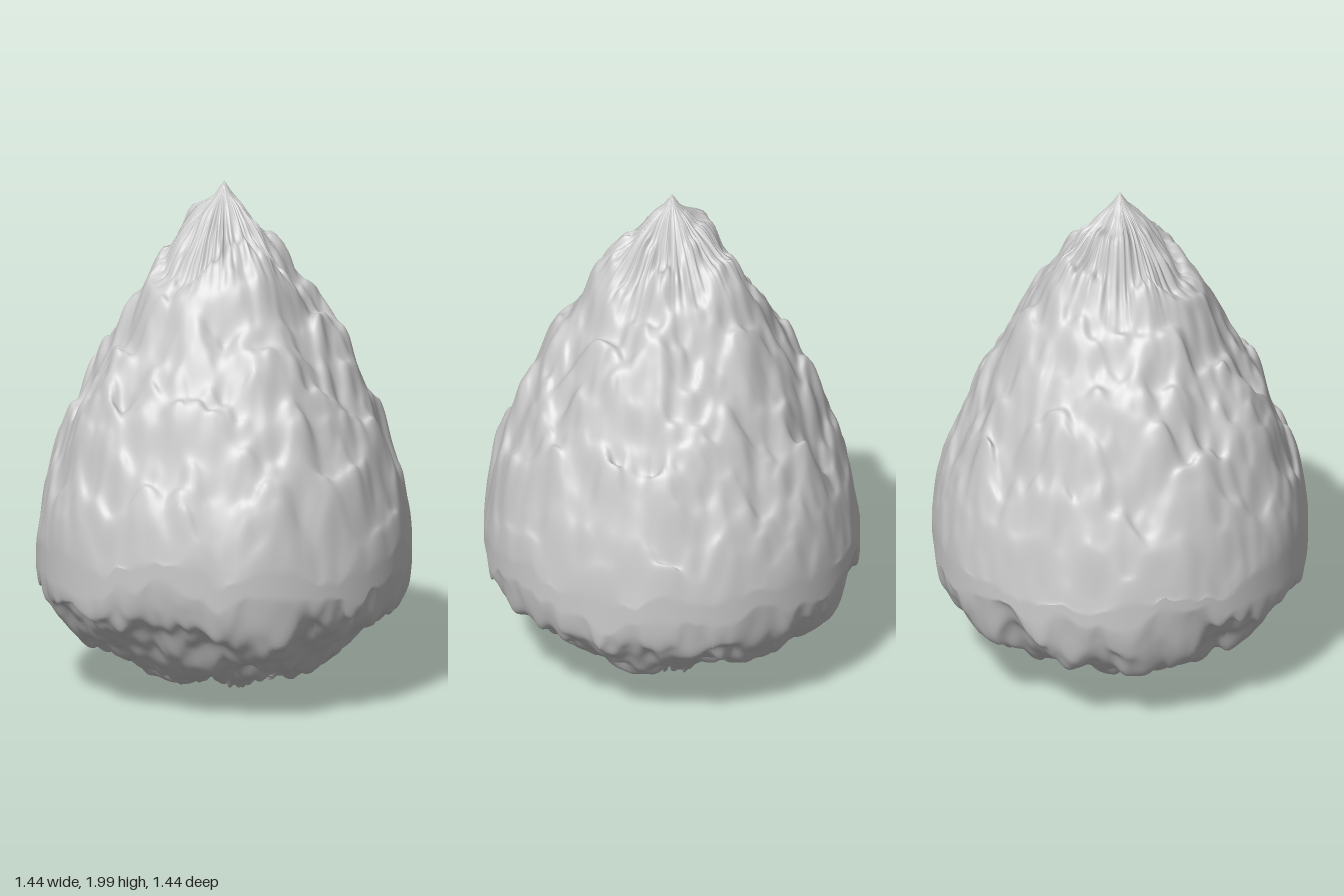
import * as THREE from 'three';
import { mergeVertices } from 'three/addons/utils/BufferGeometryUtils.js';

// Smooth seeded value noise in 3D, range -1..1
function hash(x, y, z) {
  let h = Math.imul(x, 374761393) ^ Math.imul(y, 668265263) ^ Math.imul(z, 1442695041);
  h = Math.imul(h ^ (h >>> 13), 1274126177);
  h = Math.imul(h ^ (h >>> 15), 2246822519);
  return ((h ^ (h >>> 16)) >>> 0) / 2147483648 - 1;
}
function noise(x, y, z) {
  const i = Math.floor(x), j = Math.floor(y), k = Math.floor(z);
  const fade = (t) => t * t * t * (t * (t * 6 - 15) + 10);
  const u = fade(x - i), v = fade(y - j), w = fade(z - k);
  const mix = THREE.MathUtils.lerp;
  const row = (b, c) => mix(hash(i, b, c), hash(i + 1, b, c), u);
  return mix(mix(row(j, k), row(j + 1, k), v), mix(row(j, k + 1), row(j + 1, k + 1), v), w);
}

export function createModel() {
  // Pear-shaped profile from the underside to the pointed tip
  const profile = new THREE.SplineCurve([
    [0, 0.1], [0.17, 0.08], [0.34, 0.14], [0.46, 0.19], [0.56, 0.25], [0.64, 0.31], [0.7, 0.41],
    [0.722, 0.57], [0.685, 0.8], [0.6, 1.03], [0.53, 1.2], [0.46, 1.35],
    [0.39, 1.46], [0.29, 1.63], [0.19, 1.76], [0.09, 1.87], [0, 2],
  ].map(([r, y]) => new THREE.Vector2(r, y)));
  const points = profile.getSpacedPoints(220);
  points.forEach((p) => { p.x = THREE.MathUtils.clamp(p.x, 0, 0.72); });
  points[0].x = points[220].x = 0;

  let geometry = new THREE.LatheGeometry(points, 280);
  geometry.deleteAttribute('normal');
  geometry.deleteAttribute('uv');
  geometry = mergeVertices(geometry, 1e-5);

  // Push the surface up and down only, so the plan stays round
  const pos = geometry.attributes.position;
  for (let i = 0; i < pos.count; i++) {
    const x = pos.getX(i), y = pos.getY(i), z = pos.getZ(i);
    const r = Math.hypot(x, z), a = Math.atan2(z, x);
    const full = THREE.MathUtils.smoothstep(r, 0, 0.18);
    const upper = THREE.MathUtils.smoothstep(y, 0.1, 0.6);
    let d = 0.045 * noise(x * 5 + 7, y * 3 + 3, z * 5 + 11)
      + 0.065 * noise(x * 9 + 31, y * 6 + 5, z * 9 + 17)
      + 0.024 * noise(x * 20 + 3, y * 9 + 41, z * 20 + 23);
    d *= full * (0.75 + 0.25 * upper);
    // Fine radial creases around both poles
    const creases = Math.exp(-(((r - 0.17) / 0.08) ** 2));
    d += 0.025 * creases * noise(Math.cos(a) * 20 + 50, y * 3, Math.sin(a) * 20 + 50);
    // Low knob under the left side that the rock rests on
    d -= 0.05 * (1 - upper) * Math.exp(-((x - 0.2) ** 2 + (z + 0.02) ** 2) / 0.005);
    pos.setY(i, Math.max(0, y + d));
  }
  geometry.computeVertexNormals();

  const body = new THREE.Mesh(geometry, new THREE.MeshStandardMaterial({ color: 0xcccccc }));
  body.name = 'rockBody';
  const group = new THREE.Group();
  group.name = 'pointedRock';
  group.add(body);
  return group;
}
